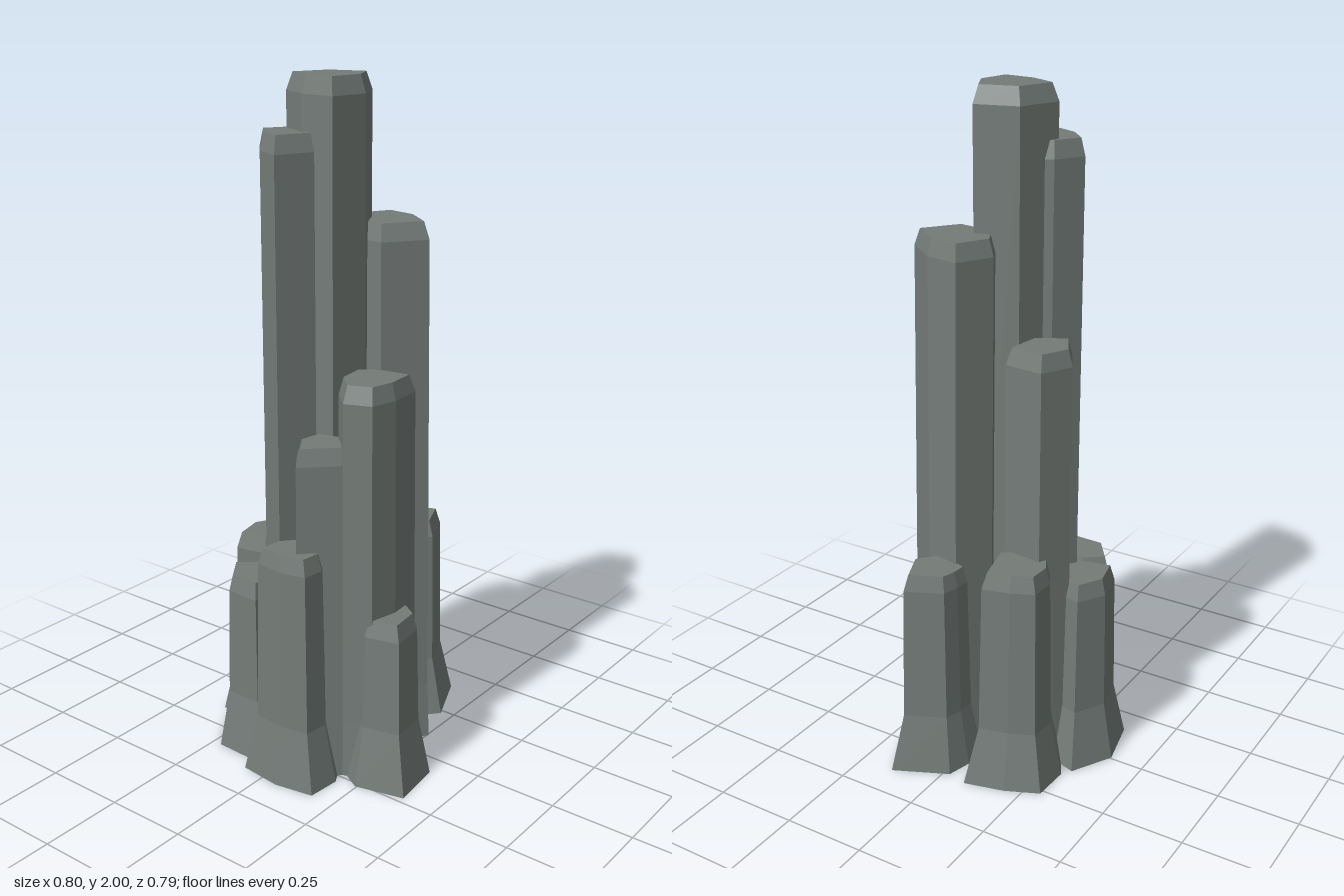
import * as THREE from 'three';

const stone = new THREE.MeshStandardMaterial({ color: 0x747c78, flatShading: true });

// Base outlines as [x, z] corners, clockwise seen from above; taper = scale at [foot, shoulder, cap]
const TALL = [
  { name: 'centralColumn', h: 2.0, taper: [1, 1, 0.85],
    base: [[-0.09, -0.13], [0.04, -0.085], [0.07, 0.045], [-0.04, 0.105], [-0.16, 0.085], [-0.145, -0.03]] },
  { name: 'rearTallColumn', h: 1.85, taper: [0.98, 0.96, 0.83],
    base: [[-0.14, -0.19], [-0.05, -0.14], [-0.02, -0.07], [-0.13, 0.03], [-0.265, -0.03], [-0.22, -0.12]] },
  { name: 'frontTallColumn', h: 1.6, taper: [0.96, 0.92, 0.8], lean: [0, -0.02],
    base: [[0.1, -0.03], [0.215, 0.03], [0.19, 0.145], [0.1, 0.255], [-0.025, 0.165], [0, 0.02]] },
  { name: 'rearMiddleColumn', h: 1.31, taper: [0.97, 0.93, 0.78],
    base: [[0.05, -0.27], [0.15, -0.22], [0.135, -0.09], [0, -0.105], [-0.055, -0.21]] },
  { name: 'frontMiddleColumn', h: 1.2, taper: [0.97, 0.92, 0.78], lean: [-0.01, 0],
    base: [[-0.17, 0.11], [-0.06, 0.095], [-0.02, 0.16], [-0.005, 0.275], [-0.12, 0.285], [-0.21, 0.265], [-0.24, 0.18]] },
  { name: 'sideMiddleColumn', h: 1.02, taper: [0.98, 0.94, 0.78],
    base: [[-0.25, 0.02], [-0.165, 0.03], [-0.15, 0.1], [-0.16, 0.2], [-0.23, 0.19], [-0.335, 0.085]] },
];
const FLARE = [0.73, 0.67, 0.57];
const SHORT = [
  { name: 'rightShortColumn', h: 0.715,
    base: [[-0.385, -0.075], [-0.275, -0.065], [-0.2, 0], [-0.2, 0.14], [-0.28, 0.185], [-0.38, 0.175], [-0.4, 0.055]] },
  { name: 'leftShortColumn', h: 0.645,
    base: [[0.18, -0.045], [0.25, -0.04], [0.325, -0.02], [0.4, 0.14], [0.235, 0.21], [0.12, 0.11]] },
  { name: 'rearLeftShortColumn', h: 0.69,
    base: [[0.07, -0.26], [0.15, -0.305], [0.265, -0.3], [0.31, -0.2], [0.34, -0.08], [0.12, -0.025], [0.07, -0.12]] },
  { name: 'rearShortColumn', h: 0.6,
    base: [[-0.16, -0.36], [-0.005, -0.395], [0.12, -0.325], [0.08, -0.2], [-0.02, -0.14], [-0.13, -0.215]] },
  { name: 'rearRightShortColumn', h: 0.56,
    base: [[-0.2, -0.315], [-0.12, -0.215], [-0.14, -0.075], [-0.24, -0.05], [-0.34, -0.06], [-0.333, -0.22]] },
  { name: 'frontShortColumn', h: 0.515,
    base: [[-0.2, 0.13], [-0.06, 0.14], [0.015, 0.245], [-0.07, 0.375], [-0.23, 0.393], [-0.265, 0.245]] },
];

// Loft four scaled copies of the outline: ground, foot, shoulder, bevelled cap
function makeColumn({ name, h, base, taper = FLARE, lean = [0, 0] }) {
  const n = base.length;
  const cx = base.reduce((s, p) => s + p[0], 0) / n;
  const cz = base.reduce((s, p) => s + p[1], 0) / n;
  const levels = [[0, 1], [0.18, taper[0]], [h - 0.05, taper[1]], [h, taper[2]]];
  const pos = [], idx = [];
  for (const [y, s] of levels) {
    const t = y / h;
    for (const [x, z] of base) {
      pos.push(cx + (x - cx) * s + lean[0] * t, y, cz + (z - cz) * s + lean[1] * t);
    }
  }
  pos.push(cx, 0, cz, cx + lean[0], h, cz + lean[1]);
  const bottom = levels.length * n, top = bottom + 1, last = (levels.length - 1) * n;
  for (let i = 0; i < n; i++) {
    const j = (i + 1) % n;
    for (let r = 0; r < last; r += n) {
      idx.push(r + i, r + n + i, r + j, r + j, r + n + i, r + n + j);
    }
    idx.push(bottom, i, j, top, last + j, last + i);
  }
  const geo = new THREE.BufferGeometry();
  geo.setAttribute('position', new THREE.Float32BufferAttribute(pos, 3));
  geo.setIndex(idx);
  const flat = geo.toNonIndexed();
  flat.computeVertexNormals();
  const mesh = new THREE.Mesh(flat, stone);
  mesh.name = name;
  return mesh;
}

export function createModel() {
  const group = new THREE.Group();
  group.name = 'rockColumns';
  for (const column of [...TALL, ...SHORT]) group.add(makeColumn(column));
  return group;
}
